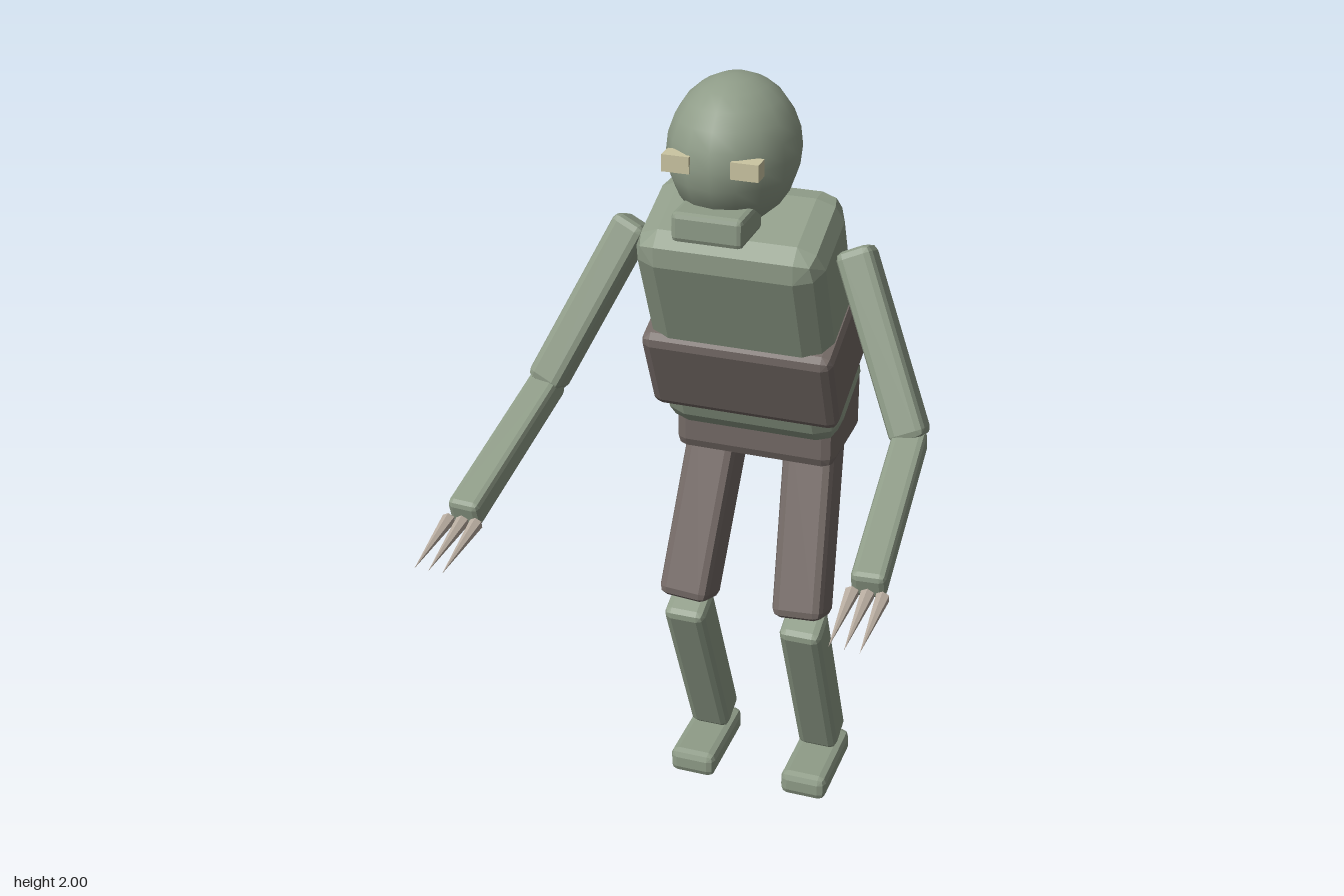
import * as THREE from 'three';
import { ConvexGeometry } from 'three/addons/geometries/ConvexGeometry.js';

// Box with bevelled edges, flat shaded
function bevelBox(w, h, d, r) {
  const points = [];
  const dirs = [[1, 0, 0], [0, 1, 0], [0, 0, 1], [1, 1, 0], [1, 0, 1], [0, 1, 1], [1, 1, 1]];
  for (const sx of [-1, 1]) for (const sy of [-1, 1]) for (const sz of [-1, 1]) {
    for (const dir of dirs) {
      const n = new THREE.Vector3(...dir).normalize().multiplyScalar(r);
      points.push(new THREE.Vector3(sx * (w / 2 - r + n.x), sy * (h / 2 - r + n.y), sz * (d / 2 - r + n.z)));
    }
  }
  return new ConvexGeometry(points);
}

function add(parent, name, geometry, material, x = 0, y = 0, z = 0) {
  const mesh = new THREE.Mesh(geometry, material);
  mesh.name = name;
  mesh.position.set(x, y, z);
  parent.add(mesh);
  return mesh;
}

// Stretches a y-aligned part between two points, keeping its x axis near the world's
function between(mesh, a, b) {
  const y = b.clone().sub(a).normalize();
  const x = new THREE.Vector3(1, 0, 0).addScaledVector(y, -y.x).normalize();
  const z = new THREE.Vector3().crossVectors(x, y);
  mesh.quaternion.setFromRotationMatrix(new THREE.Matrix4().makeBasis(x, y, z));
  mesh.position.copy(a).add(b).multiplyScalar(0.5);
}

function limb(parent, name, material, a, b, w, d, r) {
  const from = new THREE.Vector3(...a), to = new THREE.Vector3(...b);
  between(add(parent, name, bevelBox(w, from.distanceTo(to), d, r), material), from, to);
}

export function createModel() {
  const paint = (name, color) => {
    const m = new THREE.MeshStandardMaterial({ color });
    m.name = name;
    return m;
  };
  const skin = paint('grey green skin', 0x8f9c88);
  const cloth = paint('dark brown cloth', 0x736965);
  const bone = paint('pale bone', 0xb9ada1);
  const eyeColor = paint('pale yellow eye', 0xcbc5a2);

  const model = new THREE.Group();
  model.name = 'hunchedCreature';

  // Head
  const head = add(model, 'head', new THREE.SphereGeometry(1, 16, 12), skin, 0, 1.835, -0.138);
  head.scale.set(0.146, 0.165, 0.173);
  add(model, 'jaw', bevelBox(0.162, 0.068, 0.145, 0.012), skin, 0, 1.712, -0.018);

  // Leaning torso with waist wrap and spine plates
  const torso = new THREE.Group();
  torso.name = 'torso';
  torso.position.set(0, 1.39, -0.277);
  torso.rotation.x = 0.4;
  model.add(torso);
  add(torso, 'chest', bevelBox(0.444, 0.62, 0.275, 0.06), skin);
  add(torso, 'waistWrap', bevelBox(0.464, 0.235, 0.27, 0.025), cloth, 0, -0.095, 0.02);
  for (let i = 0; i < 4; i++) {
    add(torso, 'spinePlate', new THREE.BoxGeometry(0.076, 0.055, 0.03), bone, 0, -0.265 + i * 0.165, -0.135);
  }

  add(model, 'pelvis', bevelBox(0.406, 0.195, 0.256, 0.03), cloth, 0, 1.085, -0.415);

  for (const s of [1, -1]) {
    const side = new THREE.Group();
    side.name = s > 0 ? 'leftSide' : 'rightSide';
    model.add(side);

    add(side, 'eye', new THREE.BoxGeometry(0.062, 0.038, 0.042), eyeColor, s * 0.077, 1.845, 0.008);

    // Leg
    limb(side, 'thigh', cloth, [s * 0.12, 1.05, -0.422], [s * 0.15, 0.595, -0.238], 0.13, 0.135, 0.022);
    limb(side, 'shin', skin, [s * 0.153, 0.58, -0.24], [s * 0.153, 0.09, -0.455], 0.108, 0.105, 0.02);
    add(side, 'foot', bevelBox(0.124, 0.07, 0.255, 0.02), skin, s * 0.155, 0.04, -0.388);

    // Arm
    limb(side, 'upperArm', skin, [s * 0.26, 1.61, -0.205], [s * 0.442, 1.23, -0.07], 0.085, 0.09, 0.018);
    limb(side, 'forearm', skin, [s * 0.438, 1.232, -0.085], [s * 0.463, 1.098, 0.36], 0.076, 0.066, 0.014);

    // Claws
    for (let i = -1; i <= 1; i++) {
      const x = s * 0.464 + i * 0.033;
      const claw = add(side, 'claw', new THREE.ConeGeometry(0.016, 0.178, 6).toNonIndexed(), bone);
      claw.geometry.computeVertexNormals();
      between(claw, new THREE.Vector3(x, 1.085, 0.363), new THREE.Vector3(x, 1.057, 0.539));
    }
  }
  return model;
}
